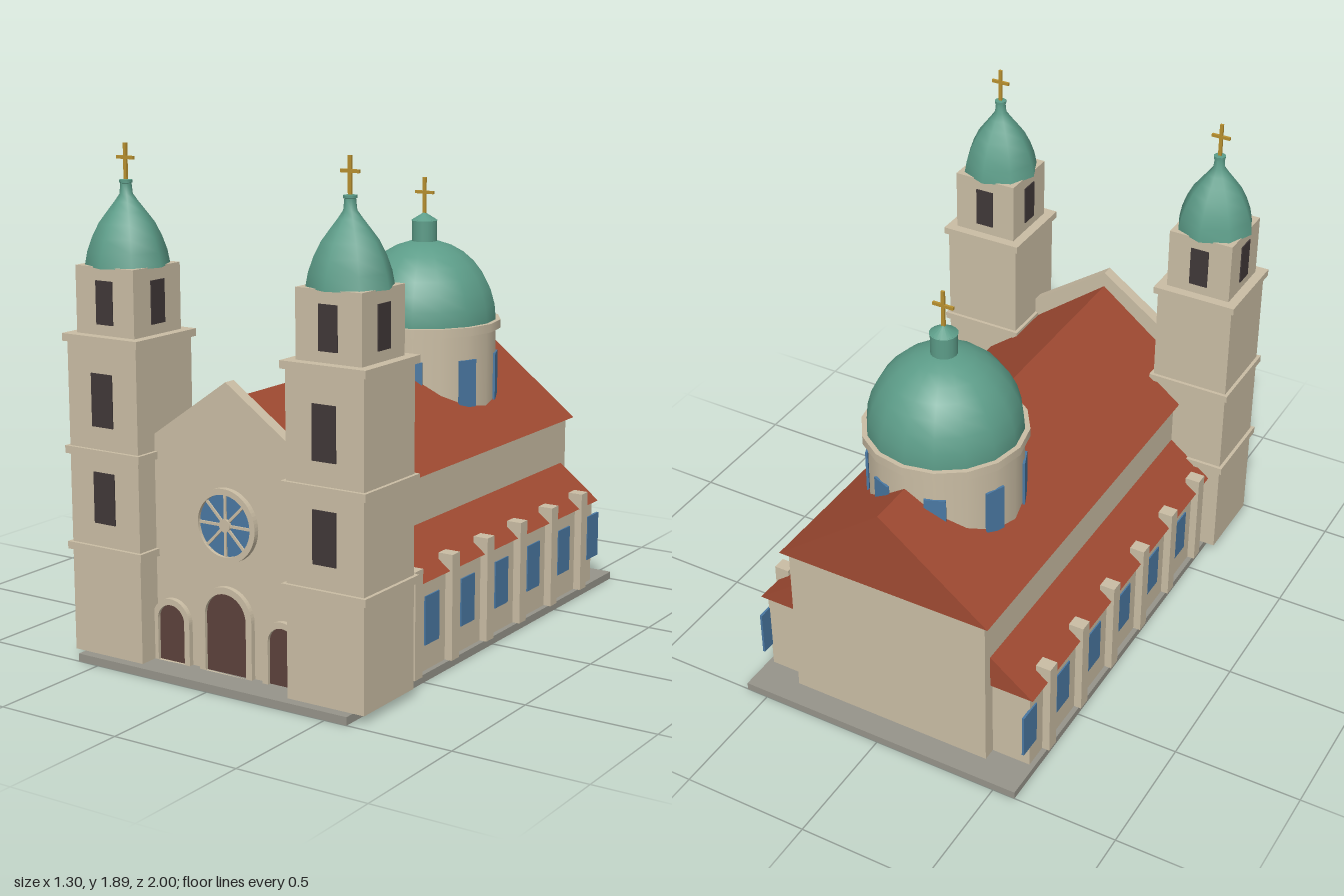
import * as THREE from 'three';
import { toCreasedNormals } from 'three/addons/utils/BufferGeometryUtils.js';

const paint = (name, color) => {
  const m = new THREE.MeshStandardMaterial({ color });
  m.name = name;
  return m;
};

export function createModel() {
  const stone = paint('stone', 0xcabda4);
  const tile = paint('roof tile', 0xa04a32);
  const copper = paint('green copper', 0x5c9c88);
  const glass = paint('blue glass', 0x4a78a2);
  const dark = paint('dark opening', 0x403838);
  const wood = paint('door wood', 0x5c413b);
  const paving = paint('paving', 0x96948a);
  const gold = paint('gold', 0xb8902f);

  const model = new THREE.Group();
  model.name = 'church';

  const add = (parent, name, geometry, material, x = 0, y = 0, z = 0) => {
    const mesh = new THREE.Mesh(geometry, material);
    mesh.name = name;
    mesh.position.set(x, y, z);
    parent.add(mesh);
    return mesh;
  };
  // Box given by its centre in x and z and its bottom and top in y
  const block = (parent, name, material, w, d, y0, y1, x = 0, z = 0) =>
    add(parent, name, new THREE.BoxGeometry(w, y1 - y0, d), material, x, (y0 + y1) / 2, z);
  // Outline in x and y, extruded from z0 to z1
  const prism = (parent, name, material, points, z0, z1) => {
    const shape = new THREE.Shape(points.map(([x, y]) => new THREE.Vector2(x, y)));
    const geometry = new THREE.ExtrudeGeometry(shape, { depth: z1 - z0, bevelEnabled: false });
    return add(parent, name, geometry, material, 0, 0, z0);
  };
  const cross = (parent, y0, y1, armY, armW, z = 0) => {
    block(parent, 'crossPost', gold, 0.013, 0.01, y0, y1, 0, z);
    block(parent, 'crossArm', gold, armW, 0.01, armY - 0.006, armY + 0.006, 0, z);
  };

  // Base, nave and main roof
  block(model, 'base', paving, 1.18, 2, 0, 0.03);
  block(model, 'nave', stone, 0.83, 1.73, 0.03, 0.7, 0, -0.038);
  prism(model, 'mainRoof', tile, [[-0.44, 0.688], [0.44, 0.688], [0, 1.027]], -0.927, 0.825);

  // Facade with gable
  prism(model, 'facade', stone,
    [[-0.33, 0.03], [0.33, 0.03], [0.33, 0.86], [0, 1.09], [-0.33, 0.86]], 0.82, 0.868);

  // Arched doors with stone surrounds
  const arch = (path, r, spring) => {
    path.moveTo(-r, 0.03);
    path.lineTo(r, 0.03);
    path.lineTo(r, spring);
    path.absarc(0, spring, r, 0, Math.PI, false);
    path.lineTo(-r, 0.03);
    return path;
  };
  const door = (x, r, frameR, spring) => {
    const frame = arch(new THREE.Shape(), frameR, spring);
    frame.holes.push(arch(new THREE.Path(), r, spring));
    const options = { bevelEnabled: false, curveSegments: 16 };
    add(model, 'doorFrame', new THREE.ExtrudeGeometry(frame, { ...options, depth: 0.022 }), stone, x, 0, 0.866);
    add(model, 'door', new THREE.ExtrudeGeometry(arch(new THREE.Shape(), r, spring),
      { ...options, depth: 0.009 }), wood, x, 0, 0.866);
  };
  door(0, 0.09, 0.115, 0.238);
  for (const x of [-0.245, 0.245]) door(x, 0.06, 0.083, 0.185);

  // Rose window
  const rose = new THREE.Group();
  rose.name = 'roseWindow';
  rose.position.set(0, 0.578, 0.868);
  model.add(rose);
  const ring = new THREE.Shape().absarc(0, 0, 0.135, 0, Math.PI * 2);
  ring.holes.push(new THREE.Path().absarc(0, 0, 0.113, 0, Math.PI * 2));
  add(rose, 'roseRing', new THREE.ExtrudeGeometry(ring,
    { depth: 0.022, bevelEnabled: false, curveSegments: 32 }), stone);
  add(rose, 'roseGlass', new THREE.CylinderGeometry(0.114, 0.114, 0.008, 32), glass, 0, 0, 0.004).rotation.x = Math.PI / 2;
  for (let i = 0; i < 4; i++)
    add(rose, 'roseSpoke', new THREE.BoxGeometry(0.228, 0.01, 0.006), stone, 0, 0, 0.011).rotation.z = i * Math.PI / 4;
  add(rose, 'roseHub', new THREE.CylinderGeometry(0.024, 0.024, 0.01, 16), stone, 0, 0, 0.012).rotation.x = Math.PI / 2;

  // Side aisles with buttresses and windows
  for (const s of [-1, 1]) {
    block(model, 'aisle', stone, 0.17, 1.55, 0.03, 0.38, s * 0.485, -0.075);
    const slope = [[0.41, 0.368], [0.59, 0.368], [0.41, 0.507]].map(([x, y]) => [s * x, y]);
    prism(model, 'aisleRoof', tile, slope, -0.866, 0.7);
    for (let i = 0; i < 6; i++) {
      block(model, 'buttress', stone, 0.06, 0.052, 0.03, 0.43, s * 0.57, 0.552 - i * 0.2555);
      block(model, 'aisleWindow', glass, 0.009, 0.097, 0.126, 0.308, s * 0.571, 0.42 - i * 0.255);
    }
  }

  // Bell towers
  const capProfile = [[0, 1.458], [0.153, 1.458], [0.143, 1.51], [0.125, 1.56], [0.1, 1.61],
    [0.07, 1.65], [0.043, 1.685], [0.024, 1.712], [0.02, 1.75], [0.024, 1.752], [0.024, 1.762], [0, 1.764]]
    .map(([r, y]) => new THREE.Vector2(r, y));
  for (const s of [-1, 1]) {
    const tower = new THREE.Group();
    tower.name = s > 0 ? 'leftTower' : 'rightTower';
    tower.position.set(s * 0.478, 0, 0.804);
    model.add(tower);
    block(tower, 'towerShaft', stone, 0.315, 0.315, 0.03, 1.2);
    for (const y of [0.43, 0.79, 1.203])
      block(tower, 'towerCornice', stone, 0.342, 0.342, y - 0.014, y + 0.014);
    for (const [y0, y1] of [[0.53, 0.72], [0.888, 1.083]])
      block(tower, 'towerWindow', dark, 0.095, 0.009, y0, y1, 0, 0.158);
    block(tower, 'belfry', stone, 0.264, 0.264, 1.21, 1.462);
    for (let i = 0; i < 4; i++) {
      const side = new THREE.Group();
      side.name = 'belfrySide';
      side.rotation.y = i * Math.PI / 2;
      tower.add(side);
      block(side, 'belfryOpening', dark, 0.075, 0.009, 1.256, 1.414, 0, 0.132);
    }
    add(tower, 'towerCap', toCreasedNormals(new THREE.LatheGeometry(capProfile, 8), 0.9), copper);
    cross(tower, 1.76, 1.893, 1.841, 0.075);
  }

  // Drum, dome and lantern over the crossing
  const crossing = new THREE.Group();
  crossing.name = 'crossingDome';
  crossing.position.z = -0.455;
  model.add(crossing);
  const drum = (name, material, r0, r1, y0, y1) =>
    add(crossing, name, new THREE.CylinderGeometry(r1, r0, y1 - y0, 16), material, 0, (y0 + y1) / 2, 0);
  drum('drum', stone, 0.29, 0.29, 0.7, 1.11);
  drum('drumCornice', stone, 0.309, 0.309, 1.1, 1.134);
  for (let i = 0; i < 8; i++) {
    const bay = new THREE.Group();
    bay.name = 'drumBay';
    bay.rotation.y = (i + 0.5) * Math.PI / 4;
    crossing.add(bay);
    block(bay, 'drumWindow', glass, 0.08, 0.009, 0.815, 1.003, 0, 0.29);
  }
  const dome = add(crossing, 'dome',
    new THREE.SphereGeometry(0.29, 16, 8, 0, Math.PI * 2, 0, Math.PI / 2), copper, 0, 1.134, 0);
  dome.scale.y = 1.08;
  drum('lantern', copper, 0.05, 0.05, 1.42, 1.526);
  drum('lanternCap', copper, 0.053, 0.002, 1.524, 1.556);
  cross(crossing, 1.55, 1.694, 1.635, 0.085);

  return model;
}
